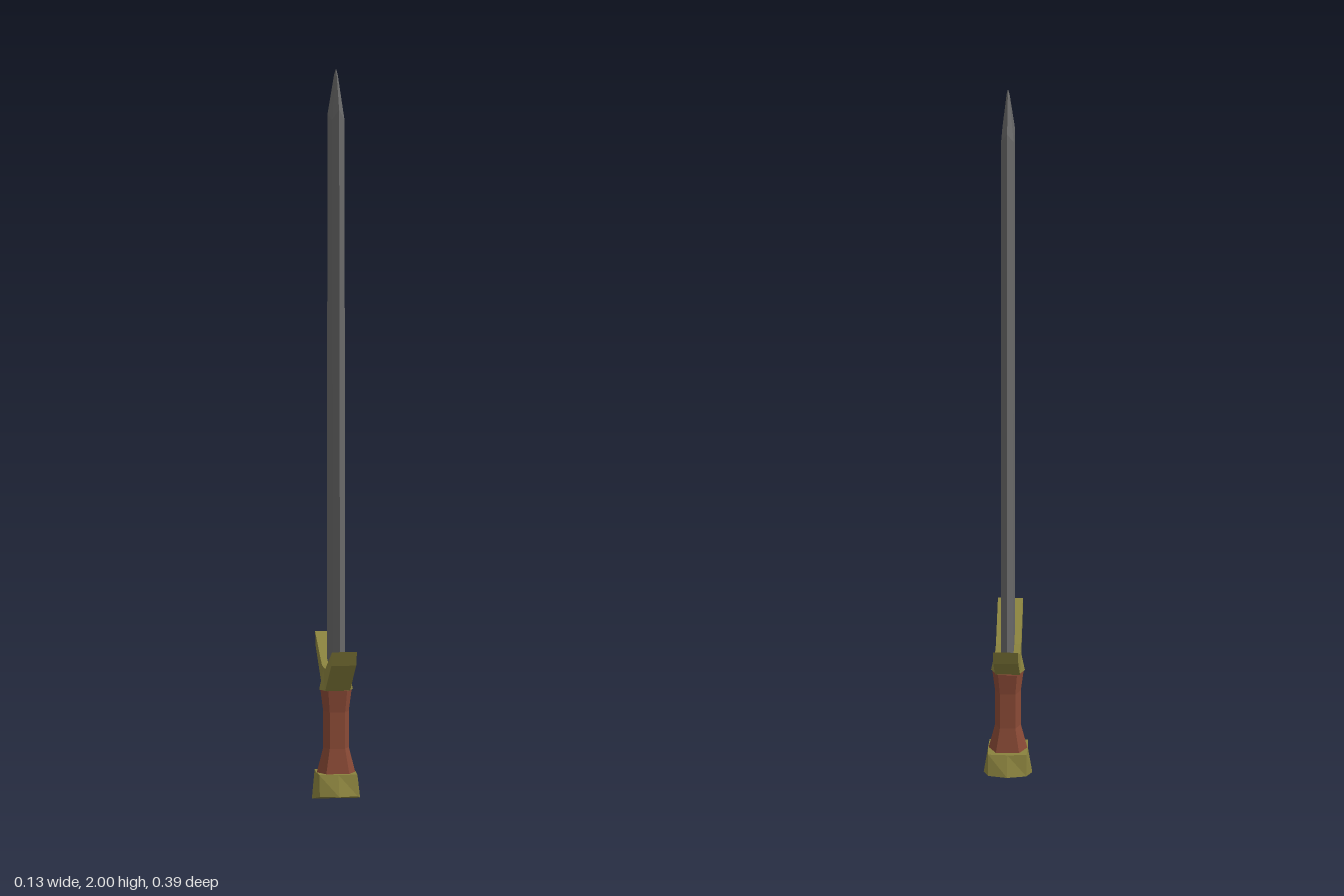
import * as THREE from 'three';

const paint = (color) => new THREE.MeshStandardMaterial({ color, flatShading: true });

// Closed skin over a stack of rings (bottom to top, each running from +x towards +z).
function loft(name, rings, material) {
  const n = rings[0].length;
  const pos = [];
  const tri = (...corners) => corners.forEach((c) => pos.push(...c));
  const middle = (ring, y) => [0, y ?? ring.reduce((s, p) => s + p[1], 0) / n, 0];
  const last = rings[rings.length - 1];
  const low = middle(rings[0], Math.min(...rings[0].map((p) => p[1])));
  const high = middle(last, Math.max(...last.map((p) => p[1])));
  for (let i = 0; i < n; i++) {
    const j = (i + 1) % n;
    for (let k = 0; k + 1 < rings.length; k++) {
      const a = rings[k], b = rings[k + 1];
      tri(a[i], b[i], b[j]);
      tri(a[i], b[j], a[j]);
    }
    tri(low, rings[0][i], rings[0][j]);
    tri(high, last[j], last[i]);
  }
  const geometry = new THREE.BufferGeometry();
  geometry.setAttribute('position', new THREE.Float32BufferAttribute(pos, 3));
  geometry.computeVertexNormals();
  const mesh = new THREE.Mesh(geometry, material);
  mesh.name = name;
  return mesh;
}

// Bevelled blade section: sharp edges at z = +-edge, flat faces at x = +-thick.
const bladeRing = (edgeY, edge, flatY, flat, thick) => [
  [thick, flatY, -flat], [thick, flatY, flat], [0, edgeY, edge],
  [-thick, flatY, flat], [-thick, flatY, -flat], [0, edgeY, -edge],
];

// Six-sided grip section with corners on the x axis.
const gripRing = (y, rx, rz) => [
  [rx, y, 0], [rx * 0.6, y, rz], [-rx * 0.6, y, rz],
  [-rx, y, 0], [-rx * 0.6, y, -rz], [rx * 0.6, y, -rz],
];

// Eight-sided pommel section.
const pommelRing = (ySide, yEnd, rx, cx, cz, rz) => [
  [rx, ySide, 0], [cx, yEnd, cz], [0, yEnd, rz], [-cx, yEnd, cz],
  [-rx, ySide, 0], [-cx, yEnd, -cz], [0, yEnd, -rz], [cx, yEnd, -cz],
];

export function createModel() {
  const group = new THREE.Group();
  const steel = paint(0x686868), brass = paint(0x8a823e), leather = paint(0x8a4a36);

  group.add(loft('blade', [
    bladeRing(0.34, 0.093, 0.34, 0.077, 0.016),
    bladeRing(1.9, 0.072, 1.87, 0.053, 0.017),
    bladeRing(1.985, 0.018, 1.985, 0.01, 0.004),
    bladeRing(2, 0.003, 2, 0.002, 0.001),
  ], steel));

  // Upswept crossguard, drawn in z and y and extruded along x.
  const half = [[0.037, 0.30], [0.18, 0.39], [0.196, 0.43], [0.037, 0.36]];
  const outline = [...half, ...half.slice().reverse().map(([z, y]) => [-z, y])];
  const shape = new THREE.Shape(outline.map(([z, y]) => new THREE.Vector2(z, y)));
  const guardGeometry = new THREE.ExtrudeGeometry(shape, { depth: 0.068, bevelEnabled: false });
  guardGeometry.translate(0, 0, -0.034).rotateY(-Math.PI / 2);
  const guard = new THREE.Mesh(guardGeometry, brass);
  guard.name = 'crossguard';
  group.add(guard);

  // Flared collar under the guard
  group.add(loft('collar', [gripRing(0.299, 0.046, 0.037), gripRing(0.358, 0.034, 0.034)], brass));

  group.add(loft('grip', [
    gripRing(0.05, 0.056, 0.045),
    gripRing(0.07, 0.053, 0.042),
    gripRing(0.14, 0.035, 0.033),
    gripRing(0.24, 0.035, 0.033),
    gripRing(0.3, 0.043, 0.041),
  ], leather));

  group.add(loft('pommel', [
    pommelRing(0, 0.014, 0.066, 0.052, 0.066, 0.079),
    pommelRing(0.072, 0.072, 0.054, 0.052, 0.055, 0.058),
  ], brass));

  return group;
}
